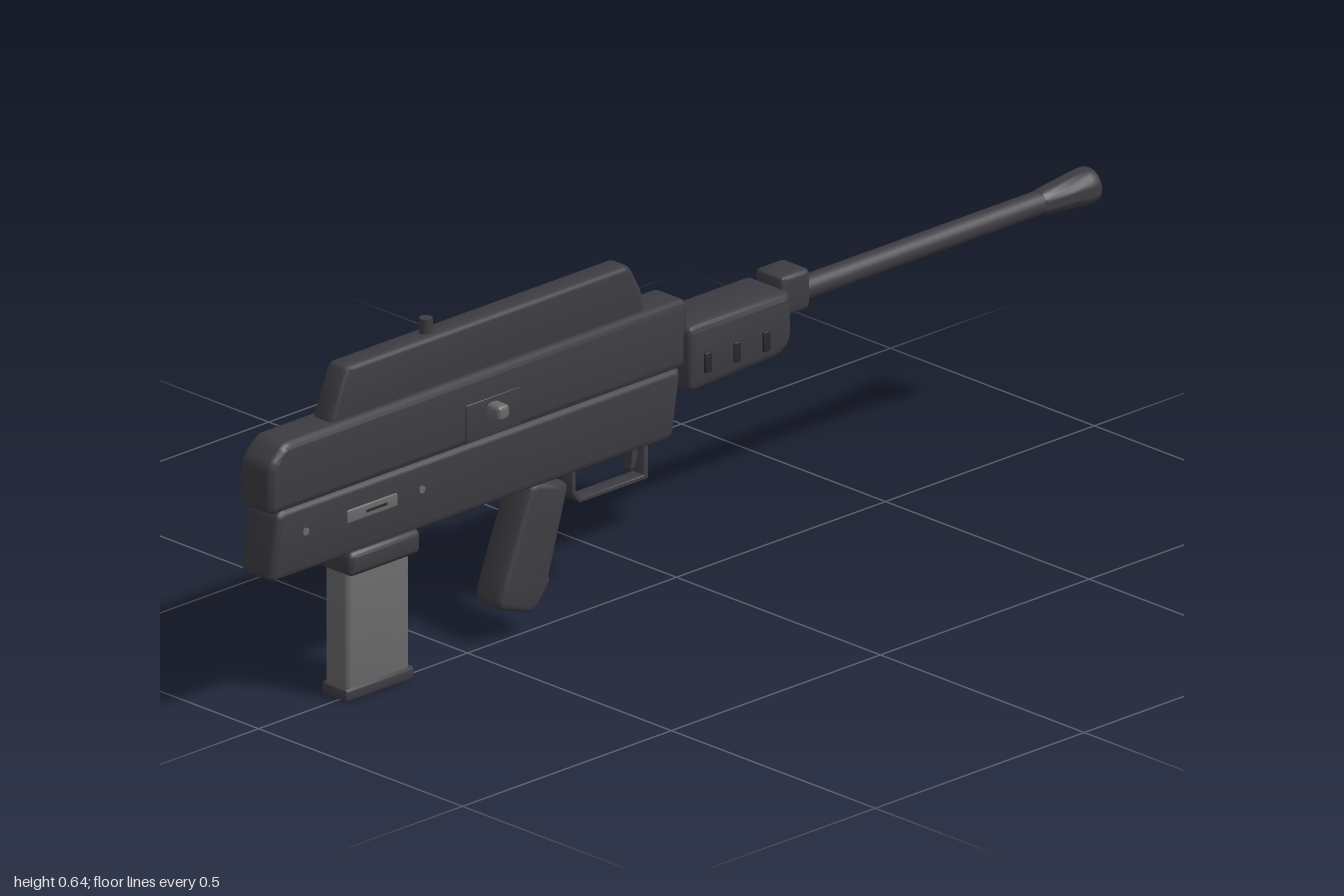
import * as THREE from 'three';
import { toCreasedNormals } from 'three/addons/utils/BufferGeometryUtils.js';

const CX = -0.009; // centre plane of the body

export function createModel() {
  const group = new THREE.Group();
  const body = new THREE.MeshStandardMaterial({ color: 0x3d3c42 });
  body.name = 'darkBody';
  const steel = new THREE.MeshStandardMaterial({ color: 0x6a6a6b });
  steel.name = 'greySteel';
  const slot = new THREE.MeshStandardMaterial({ color: 0x29292d });
  slot.name = 'slotBlack';

  function add(name, geometry, material, x = 0, y = 0, z = 0) {
    const mesh = new THREE.Mesh(geometry, material);
    mesh.name = name;
    mesh.position.set(x, y, z);
    group.add(mesh);
    return mesh;
  }

  // Closed [z, y] outline with softened corners
  function outline(points, r) {
    const p = points.map(([z, y]) => new THREE.Vector2(z, y));
    const shape = new THREE.Shape();
    p.forEach((c, i) => {
      const toward = (q) => {
        const d = q.clone().sub(c);
        return c.clone().add(d.setLength(Math.min(r, d.length() * 0.45)));
      };
      const a = toward(p[(i + p.length - 1) % p.length]);
      const b = toward(p[(i + 1) % p.length]);
      if (i) shape.lineTo(a.x, a.y);
      else shape.moveTo(a.x, a.y);
      shape.quadraticCurveTo(c.x, c.y, b.x, b.y);
    });
    shape.closePath();
    return shape;
  }

  // Side profile extruded across x with rounded edges
  function slab(name, points, width, material = body, bevel = 0.012, x = CX) {
    const g = new THREE.ExtrudeGeometry(outline(points, bevel * 1.3), {
      depth: width - 2 * bevel, curveSegments: 4, bevelEnabled: true,
      bevelSize: bevel, bevelThickness: bevel, bevelOffset: -bevel, bevelSegments: 3,
    });
    g.translate(0, 0, bevel - width / 2);
    g.rotateY(-Math.PI / 2);
    return add(name, toCreasedNormals(g, 0.6), material, x);
  }
  const rect = (z0, z1, y0, y1) => [[z0, y0], [z1, y0], [z1, y1], [z0, y1]];

  // Main body
  slab('upperReceiver', [[0, 0.398], [1, 0.398], [1, 0.488], [0.963, 0.523], [0, 0.523]], 0.079);
  slab('lowerReceiver', [[0.035, 0.275], [1, 0.275], [0.98, 0.402], [0.015, 0.402]], 0.08);
  slab('topRail', [[0.09, 0.515], [0.843, 0.515], [0.832, 0.545], [0.803, 0.615], [0.125, 0.615], [0.092, 0.553]], 0.048, body, 0.009);
  add('sightPost', new THREE.CylinderGeometry(0.012, 0.012, 0.034, 16), body, CX, 0.625, 0.591);

  // Handguard with raised ribs on both sides
  slab('handguard', [[0.013, 0.353], [-0.21, 0.362], [-0.236, 0.385], [-0.236, 0.476], [0.013, 0.476]], 0.109, body, 0.014);
  for (const side of [-1, 1])
    for (const z of [-0.03, -0.1, -0.17])
      slab('handguardRib', rect(z - 0.008, z + 0.008, 0.383, 0.42), 0.008, slot, 0.002, CX + side * 0.054);

  // Barrel and flared muzzle
  slab('barrelBlock', rect(-0.298, -0.228, 0.42, 0.495), 0.068, body, 0.009);
  const barrel = add('barrel', new THREE.CylinderGeometry(0.0215, 0.0215, 0.7, 24), body, CX, 0.444, -0.57);
  barrel.rotation.x = -Math.PI / 2;
  const muzzleProfile = [[0, 0], [0.022, 0], [0.024, 0.012], [0.029, 0.06], [0.0335, 0.105], [0.0335, 0.117], [0.031, 0.124], [0.026, 0.127], [0, 0.127]];
  const muzzleShape = new THREE.LatheGeometry(muzzleProfile.map(([r, y]) => new THREE.Vector2(r, y)), 28);
  const muzzle = add('muzzle', toCreasedNormals(muzzleShape.toNonIndexed(), 0.7), body, CX, 0.444, -0.873);
  muzzle.rotation.x = -Math.PI / 2;

  // Side handle on its plate
  slab('handlePlate', rect(0.405, 0.535, 0.405, 0.475), 0.008, body, 0.002, 0.03);
  slab('sideHandle', rect(0.459, 0.486, 0.44, 0.466), 0.037, steel, 0.006, 0.0445);

  // Side lever and pins
  slab('sideLever', rect(0.7, 0.82, 0.337, 0.361), 0.006, steel, 0.002, 0.031);
  slab('leverRecess', rect(0.725, 0.775, 0.346, 0.351), 0.002, slot, 0.0004, 0.034);
  const pin = (x, z) => {
    const m = add('pin', new THREE.CylinderGeometry(0.007, 0.007, 0.005, 14), steel, x, 0.35, z);
    m.rotation.z = Math.PI / 2;
  };
  for (const z of [0.918, 0.64]) pin(0.031, z);
  for (const z of [0.918, 0.78, 0.64]) pin(-0.049, z);

  // Magazine
  slab('magazineWell', rect(0.645, 0.815, 0.235, 0.28), 0.091, body, 0.01);
  slab('magazine', rect(0.656, 0.806, 0.015, 0.25), 0.056, steel, 0.008);
  slab('magazineBase', rect(0.647, 0.812, 0, 0.025), 0.063, body, 0.007);

  // Grip
  slab('grip', [[0.365, 0.285], [0.276, 0.26], [0.324, 0.1], [0.32, 0.09], [0.36, 0.04], [0.447, 0.068], [0.436, 0.112], [0.383, 0.245]], 0.069, body, 0.013);

  // Trigger guard: a bent strip
  const outer = [[0.255, 0.28], [0.255, 0.226], [0.237, 0.205], [0.073, 0.205], [0.073, 0.28]];
  const inner = [[0.083, 0.28], [0.083, 0.213], [0.233, 0.213], [0.246, 0.229], [0.246, 0.28]];
  slab('triggerGuard', [...outer, ...inner], 0.03, body, 0.0015);
  slab('trigger', [[0.112, 0.285], [0.106, 0.255], [0.11, 0.228], [0.101, 0.228], [0.092, 0.25], [0.09, 0.285]], 0.018, body, 0.002);

  return group;
}
